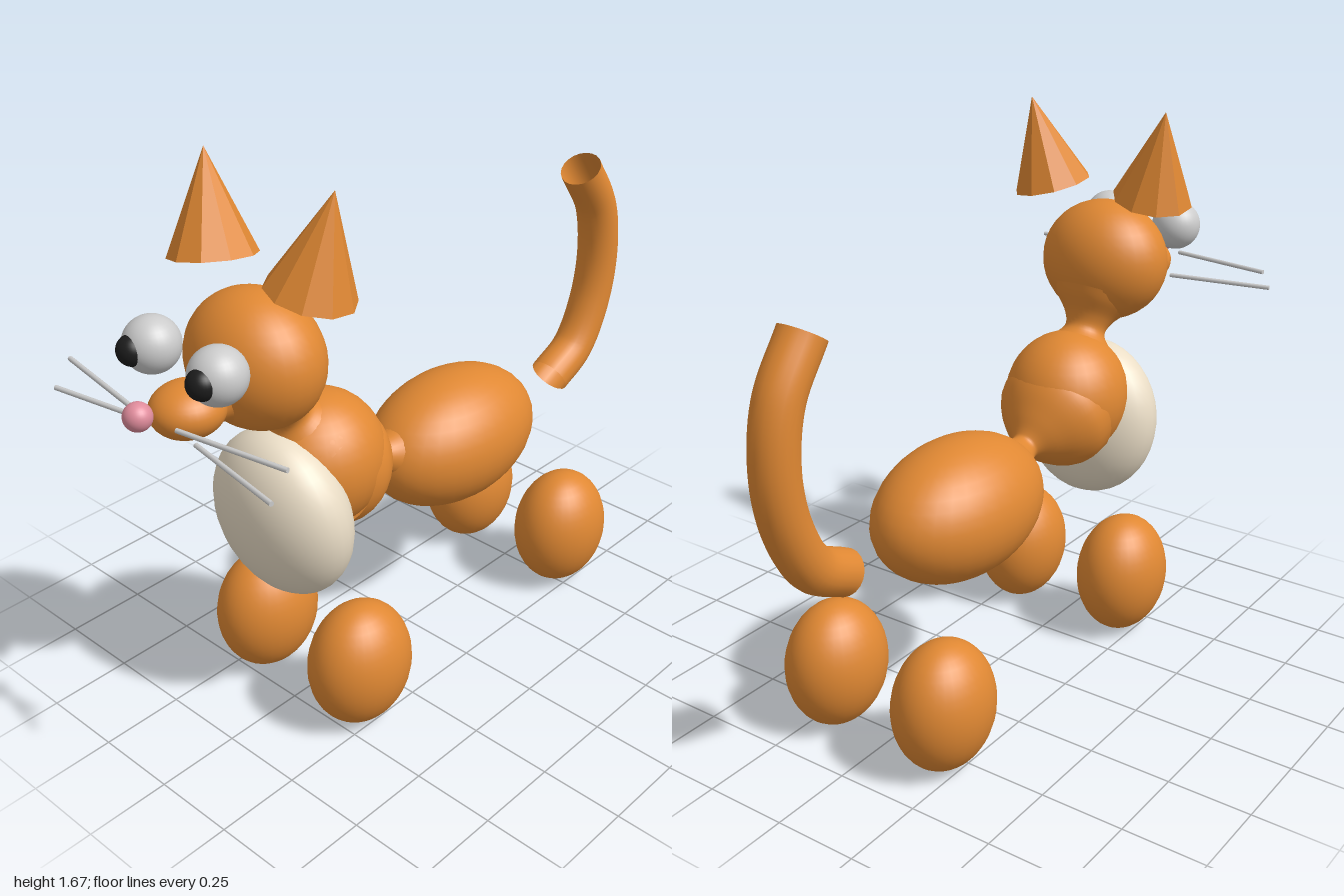
import * as THREE from 'three';

const paint = (color, extra = {}) => new THREE.MeshStandardMaterial({ color, ...extra });
const fur = paint(0xe08833);
const furFlat = paint(0xe08833, { flatShading: true });
const furOpen = paint(0xe08833, { side: THREE.DoubleSide });
const cream = paint(0xeaddc6);
const grey = paint(0xcccccc);
const black = paint(0x1c1c1c);
const pink = paint(0xe08c9c);
const UP = new THREE.Vector3(0, 1, 0);
const V = (x, y, z) => new THREE.Vector3(x, y, z);

export function createModel() {
  const model = new THREE.Group();
  model.name = 'cat';

  const add = (name, geometry, material, position) => {
    const mesh = new THREE.Mesh(geometry, material);
    mesh.name = name;
    mesh.position.copy(position);
    model.add(mesh);
    return mesh;
  };

  const ball = (name, material, position, rx, ry, rz) => {
    const mesh = add(name, new THREE.SphereGeometry(1, 32, 20), material, position);
    mesh.scale.set(rx, ry, rz);
    return mesh;
  };

  // Smooth flared sleeve along an axis; profile is [radius, distance] pairs
  const joint = (name, from, to, profile) => {
    const curve = new THREE.SplineCurve(profile.map(([r, t]) => new THREE.Vector2(r, t)));
    const mesh = add(name, new THREE.LatheGeometry(curve.getPoints(32), 32), furOpen, from);
    mesh.quaternion.setFromUnitVectors(UP, to.clone().sub(from).normalize());
    return mesh;
  };

  // Body masses
  const headAt = V(0, 1.18, 0.58);
  const chestAt = V(0, 0.79, 0.37);
  ball('head', fur, headAt, 0.206, 0.19, 0.17);
  ball('chest', fur, chestAt, 0.19, 0.202, 0.2);
  ball('rearBody', fur, V(0, 0.62, -0.2), 0.206, 0.206, 0.32);
  ball('snout', fur, V(0, 1.125, 0.81), 0.097, 0.073, 0.103);
  ball('belly', cream, V(0, 0.675, 0.51), 0.235, 0.256, 0.15).rotation.x = 0.1;

  // Blends between the masses
  joint('neck', headAt, chestAt,
    [[0.135, 0.115], [0.115, 0.145], [0.078, 0.19], [0.064, 0.232], [0.09, 0.268], [0.128, 0.295], [0.15, 0.32]]);
  joint('waist', V(0, 0.77, 0.37), V(0, 0.66, 0.05),
    [[0.186, 0.04], [0.178, 0.1], [0.148, 0.15], [0.097, 0.2], [0.055, 0.235], [0.044, 0.255], [0.058, 0.285], [0.092, 0.33]]);
  joint('muzzleBlend', V(0, 1.125, 0.8), V(0, 1.14, 0.66), [[0.07, 0.02], [0.07, 0.05], [0.082, 0.08], [0.11, 0.11]]);

  ball('nose', pink, V(0, 1.165, 0.962), 0.038, 0.038, 0.038);

  // Paired parts
  for (const [side, s] of [['left', 1], ['right', -1]]) {
    ball(side + 'Eye', grey, V(s * 0.125, 1.262, 0.808), 0.077, 0.077, 0.077);
    ball(side + 'Pupil', black, V(s * 0.132, 1.263, 0.863), 0.042, 0.042, 0.042);

    // Cone ear leaning outward and back
    const ear = add(side + 'Ear', new THREE.ConeGeometry(0.122, 0.28, 10), furFlat, V(s * 0.208, 1.54, 0.528));
    ear.quaternion.setFromUnitVectors(UP, V(s * 0.055, 0.27, -0.038).normalize());

    // Crossing whiskers
    [[1.14, 0.915, 0.86], [1.075, 0.86, 0.915]].forEach(([y, zIn, zOut], i) => {
      const a = V(s * 0.085, y, zIn), b = V(s * 0.415, y, zOut);
      const whisker = add(side + (i ? 'LowerWhisker' : 'UpperWhisker'),
        new THREE.CylinderGeometry(0.007, 0.007, a.distanceTo(b), 8), grey, a.clone().lerp(b, 0.5));
      whisker.quaternion.setFromUnitVectors(UP, b.clone().sub(a).normalize());
    });

    ball(side + 'FrontFoot', fur, V(s * 0.195, 0.201, 0.416), 0.137, 0.193, 0.166);
    ball(side + 'BackFoot', fur, V(s * 0.195, 0.201, -0.536), 0.137, 0.193, 0.166);
  }

  // Curved, open-ended tail
  const spine = new THREE.CatmullRomCurve3([
    V(0, 0.623, -0.703), V(0, 0.69, -0.825), V(0, 0.83, -0.905),
    V(0, 1.0, -0.935), V(0, 1.17, -0.908), V(0, 1.318, -0.813),
  ]);
  add('tail', new THREE.TubeGeometry(spine, 40, 0.066, 20, false), furOpen, V(0, 0, 0));

  return model;
}
